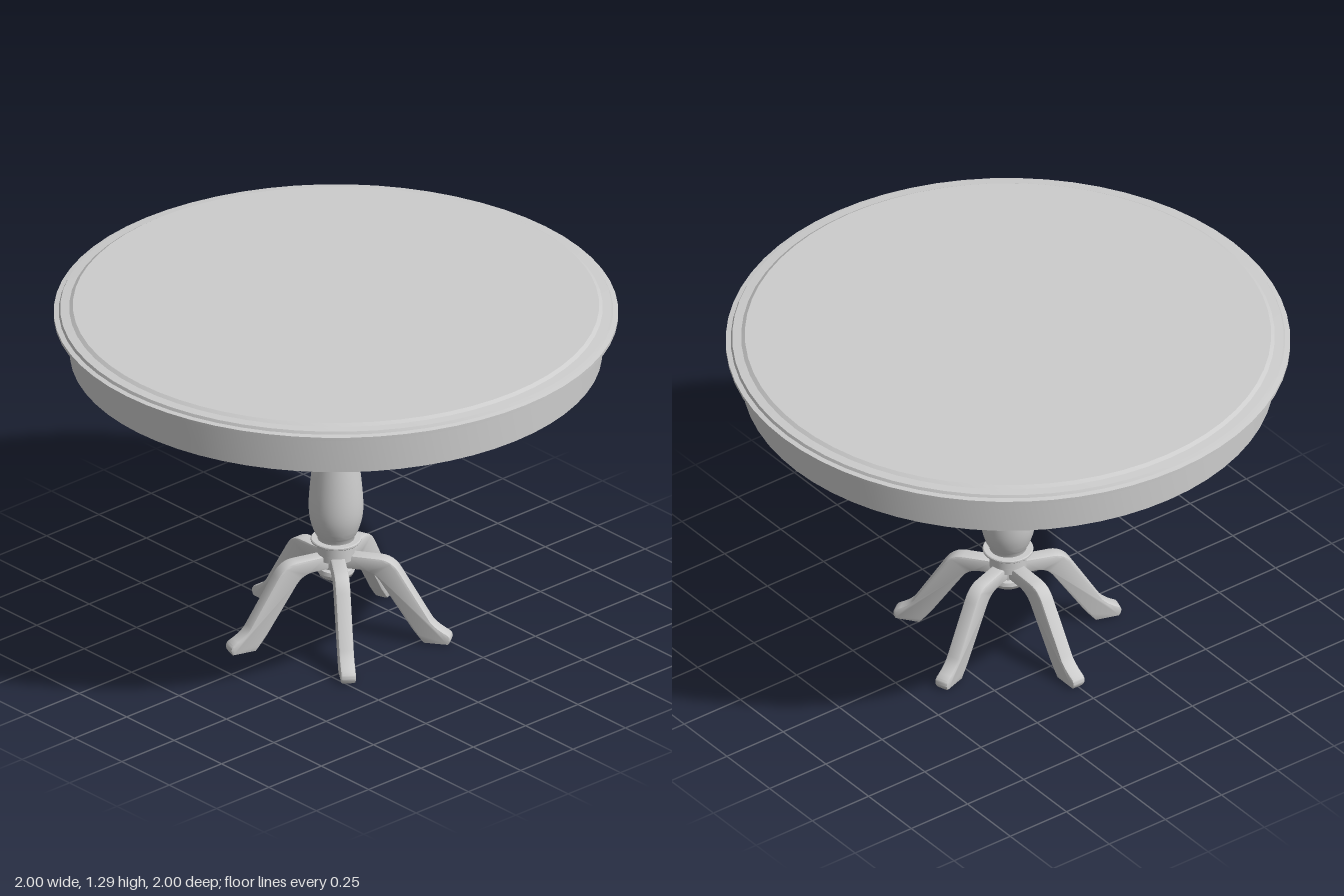
import * as THREE from 'three';
import { toCreasedNormals } from 'three/addons/utils/BufferGeometryUtils.js';

const material = new THREE.MeshStandardMaterial({ color: 0xcccccc });

function addMesh(group, name, geometry, crease = 0.6) {
  const mesh = new THREE.Mesh(toCreasedNormals(geometry, crease), material);
  mesh.name = name;
  group.add(mesh);
  return mesh;
}

// Turned part: [radius, height] points run bottom to top along the outside
function turned(points, segments) {
  return new THREE.LatheGeometry(points.map(([r, y]) => new THREE.Vector2(r, y)), segments);
}

// Side outline of a leg: x = distance from the column, y = height
function legGeometry() {
  const bevel = 0.008;
  const s = new THREE.Shape();
  s.moveTo(0.035, 0.275);
  s.lineTo(0.105, 0.273);
  s.quadraticCurveTo(0.145, 0.268, 0.168, 0.235);
  s.lineTo(0.285, 0.058);
  s.quadraticCurveTo(0.302, 0.035, 0.325, bevel);
  s.lineTo(0.405, bevel);
  s.quadraticCurveTo(0.416, 0.022, 0.405, 0.033);
  s.quadraticCurveTo(0.352, 0.06, 0.335, 0.09);
  s.lineTo(0.23, 0.263);
  s.quadraticCurveTo(0.205, 0.308, 0.16, 0.309);
  s.lineTo(0.06, 0.311);
  s.lineTo(0.035, 0.298);
  s.closePath();
  const width = 0.054;
  const geometry = new THREE.ExtrudeGeometry(s, {
    depth: width - 2 * bevel, bevelEnabled: true, bevelSize: bevel,
    bevelThickness: bevel, bevelSegments: 2, curveSegments: 6,
  });
  return geometry.translate(0, 0, -width / 2 + bevel);
}

export function createModel() {
  const table = new THREE.Group();
  table.name = 'roundPedestalTable';

  // Round top with a stepped, moulded rim
  addMesh(table, 'tableTop', turned([
    [0, 1.258], [1, 1.258], [1, 1.27], [0.982, 1.273], [0.977, 1.283],
    [0.945, 1.286], [0.932, 1.295], [0, 1.295],
  ], 64), 0.3);

  // Hollow apron ring under the top
  addMesh(table, 'apron', turned([
    [0.925, 1.26], [0.925, 1.105], [0.943, 1.105], [0.943, 1.26],
  ], 64));

  // Mounting plate between column and top
  addMesh(table, 'mountingPlate', turned([
    [0, 1.207], [0.12, 1.207], [0.12, 1.213], [0.175, 1.213], [0.175, 1.26],
  ], 48));

  // Turned column: smooth vase between its collars
  const vase = new THREE.SplineCurve([
    [0.066, 0.383], [0.08, 0.41], [0.094, 0.46], [0.097, 0.52], [0.09, 0.61],
    [0.077, 0.72], [0.064, 0.818],
  ].map(([r, y]) => new THREE.Vector2(r, y))).getPoints(24).map((p) => [p.x, p.y]);
  addMesh(table, 'column', turned([
    [0.066, 0.3], [0.066, 0.362], ...vase,
    [0.066, 0.83], [0.066, 0.875], [0.053, 0.892], [0.055, 0.912],
    [0.061, 0.95], [0.064, 0.99], [0.066, 1.05], [0.066, 1.21],
  ], 32));

  // Thin collars around the column
  [[0.09, 0.369, 0.012], [0.071, 0.826, 0.012], [0.074, 0.879, 0.012]].forEach(([r, y, h]) => {
    addMesh(table, 'collar', turned([
      [0.04, y - h / 2], [r - 0.003, y - h / 2], [r, y - h / 4],
      [r, y + h / 4], [r - 0.003, y + h / 2], [0.04, y + h / 2],
    ], 32));
  });

  // Hub that holds the legs, closed by a rounded cap below
  addMesh(table, 'hub', turned([
    [0, 0.223], [0.045, 0.223], [0.06, 0.233], [0.067, 0.248], [0.064, 0.262],
    [0.05, 0.266], [0.05, 0.31], [0.066, 0.318], [0.066, 0.325],
  ], 32));

  // Five curved legs, one pointing straight back
  const leg = legGeometry();
  for (let i = 0; i < 5; i++) {
    addMesh(table, 'leg', leg).rotation.y = Math.PI / 2 + (i * 2 * Math.PI) / 5;
  }
  return table;
}
